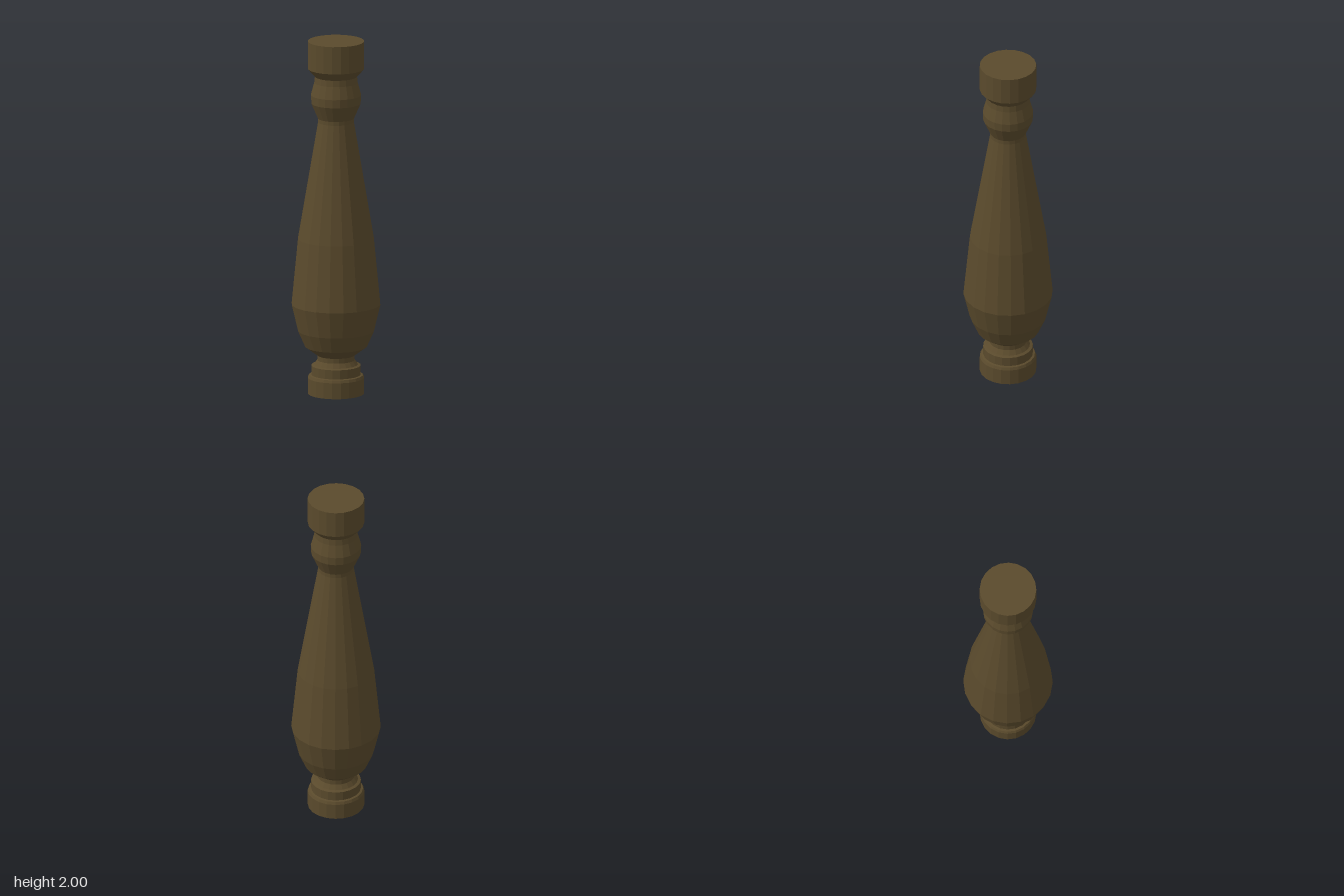
import * as THREE from 'three';

const SIDES = 20;

export function createModel() {
  const group = new THREE.Group();
  group.name = 'baluster';
  const wood = new THREE.MeshStandardMaterial({ color: 0x5a4a2c, flatShading: true });

  // Turned sections, bottom to top, as [radius, height]; neighbours share a ring
  const sections = {
    foot: [[0, 0], [0.157, 0], [0.157, 0.09], [0.15, 0.105], [0.138, 0.108]],
    footRing: [[0.138, 0.108], [0.138, 0.16], [0.122, 0.165], [0.104, 0.19]],
    lowerNeck: [[0.104, 0.19], [0.104, 0.217]],
    belly: [[0.104, 0.217], [0.172, 0.267], [0.212, 0.357], [0.248, 0.508], [0.212, 0.88], [0.1, 1.54]],
    upperNeck: [[0.1, 1.54], [0.1, 1.562]],
    collar: [[0.1, 1.562], [0.138, 1.648], [0.14, 1.695], [0.121, 1.765], [0.118, 1.8]],
    cap: [[0.118, 1.8], [0.157, 1.845], [0.157, 2], [0, 2]],
  };

  for (const [name, profile] of Object.entries(sections)) {
    const points = profile.map(([r, y]) => new THREE.Vector2(r, y));
    const mesh = new THREE.Mesh(new THREE.LatheGeometry(points, SIDES), wood);
    mesh.name = name;
    group.add(mesh);
  }
  return group;
}
